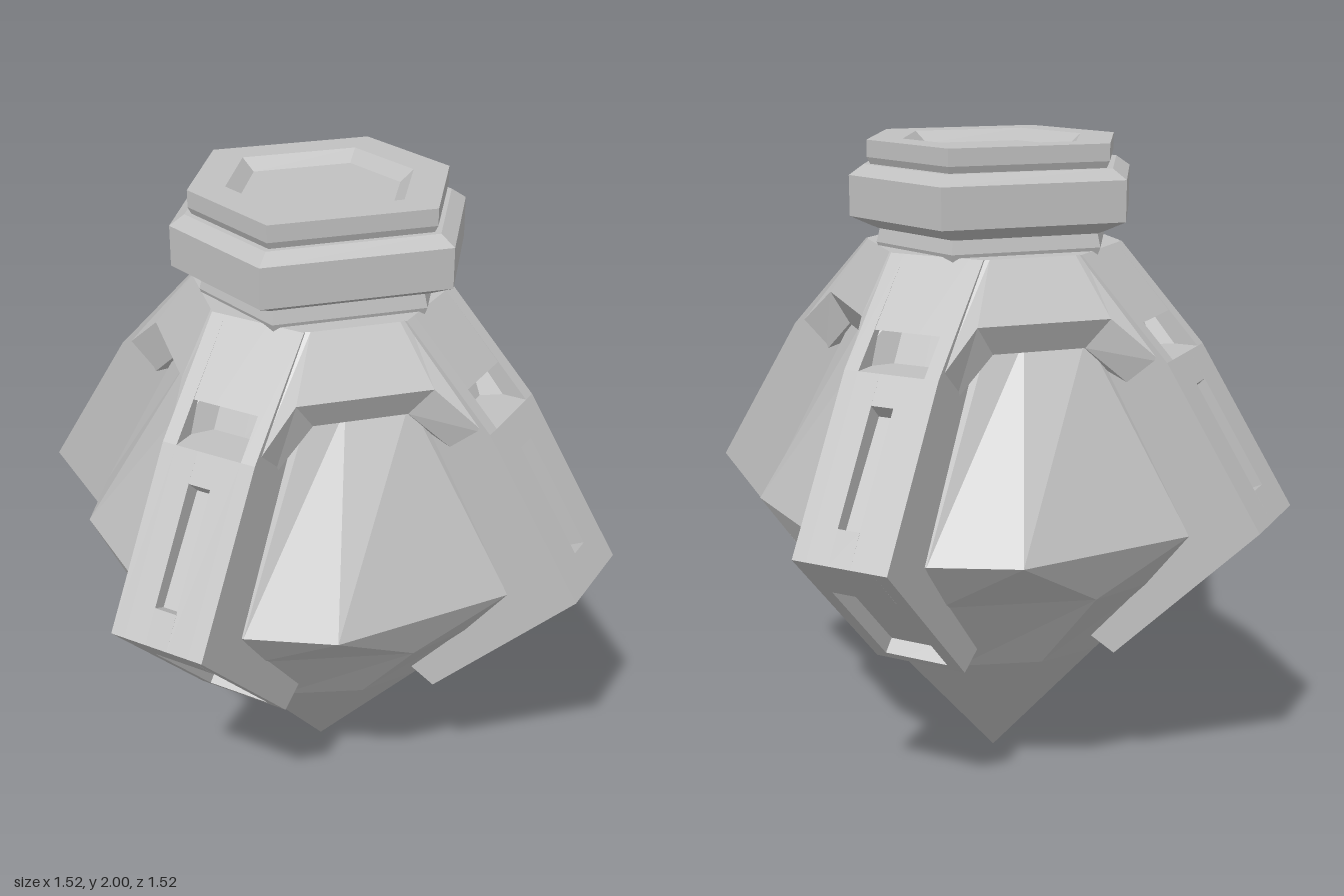
import * as THREE from 'three';

const stone = new THREE.MeshStandardMaterial({ color: 0xc0c0c0, flatShading: true });
stone.name = 'grey stone';

// Faceted solid through stacked rings: each ring is { y, pts: [[x, z, own y], ...] }, counterclockwise from above.
function loft(name, rings) {
  const v = [];
  const n = rings[0].pts.length;
  const at = (r, j) => {
    const [x, z, y = r.y] = r.pts[j % n];
    return [x, y, z];
  };
  const bottom = rings[0], top = rings[rings.length - 1];
  for (let j = 0; j < n; j++) {
    for (let i = 0; i < rings.length - 1; i++) {
      const a = at(rings[i], j), b = at(rings[i], j + 1);
      const c = at(rings[i + 1], j + 1), d = at(rings[i + 1], j);
      v.push(...a, ...b, ...c, ...a, ...c, ...d);
    }
    v.push(0, bottom.y, 0, ...at(bottom, j + 1), ...at(bottom, j));
    v.push(0, top.y, 0, ...at(top, j), ...at(top, j + 1));
  }
  const g = new THREE.BufferGeometry();
  g.setAttribute('position', new THREE.Float32BufferAttribute(v, 3));
  g.computeVertexNormals();
  const mesh = new THREE.Mesh(g, stone);
  mesh.name = name;
  return mesh;
}

// Repeats the points of the front side around all four sides.
function fourSides(y, side) {
  const pts = [];
  let s = side;
  for (let k = 0; k < 4; k++) {
    pts.push(...s);
    s = s.map(([x, z, h]) => [z, -x, h]);
  }
  return { y, pts };
}

// Collar ring: front panel edge b, outer edge a beside the brace, point c inside the brace.
const collarRing = (y, b, a, c) =>
  fourSides(y, [[-a[0], a[1], a[2]], [-b[0], b[1], b[2]], b, a, c]);

const hexagon = ([y, r]) => ({
  y,
  pts: [[-0.62, 0.85], [0.62, 0.85], [1, 0], [0.62, -0.85], [-0.62, -0.85], [-1, 0]].map(([x, z]) => [x * r, z * r]),
});

// One slab of a corner brace, with optional recesses cut in its outer profile (distance, height).
function braceSlab(from, to, wide, slot) {
  const p = [[0.2, 1.69], [0.36, 1.69]];
  if (wide) p.push([0.535, 1.5], [0.45, 1.5], [0.5, 1.4]);
  p.push([0.63, 1.4]);
  if (slot) p.push([0.68, 1.32], [0.64, 1.28], [0.83, 1.0], [0.87, 1.02]);
  p.push([0.926, 0.93]);
  if (wide) p.push([0.8, 0.8], [0.76, 0.83], [0.475, 0.54], [0.51, 0.505]);
  p.push([0.486, 0.48], [0.38, 0.54], [0.5, 0.93], [0.28, 1.4]);
  const shape = new THREE.Shape(p.map(([x, y]) => new THREE.Vector2(x, y)));
  const g = new THREE.ExtrudeGeometry(shape, { depth: to - from, bevelEnabled: false });
  g.translate(0, 0, from);
  return new THREE.Mesh(g, stone);
}

export function createModel() {
  const model = new THREE.Group();
  model.name = 'crystalFlask';

  // Pointed crystal body with an off-centre ridge on each side
  model.add(loft('crystalBody', [
    fourSides(0, [[0, 0], [0, 0], [0, 0]]),
    fourSides(0.45, [[-0.22, 0.33], [0.03, 0.38], [0.22, 0.33]]),
    fourSides(0.72, [[-0.33, 0.51], [0.12, 0.59], [0.33, 0.51]]),
    fourSides(0.89, [[-0.4, 0.62], [-0.15, 0.72], [0.4, 0.61]]),
    fourSides(1.46, [[-0.15, 0.4], [-0.04, 0.4], [0.15, 0.4]]),
  ]));

  // Shoulder collar: bevelled lower edge that drops along the sides of the braces
  model.add(loft('collar', [
    collarRing(1.4, [0.14, 0.42, 1.43], [0.265, 0.47, 1.32], [0.28, 0.28, 1.35]),
    collarRing(1.5, [0.2, 0.465, 1.52], [0.33, 0.535, 1.4], [0.29, 0.29, 1.4]),
    collarRing(1.69, [0.13, 0.36], [0.155, 0.352], [0.2, 0.2]),
  ]));

  // Hexagonal neck, rim and sunken lid
  model.add(loft('neckAndLid', [
    [1.66, 0.35], [1.7, 0.365], [1.74, 0.355], [1.75, 0.38], [1.78, 0.445], [1.9, 0.445],
    [1.93, 0.4], [1.93, 0.38], [1.95, 0.39], [2, 0.39], [2, 0.28], [1.965, 0.24],
  ].map(hexagon)));

  // Four recessed braces along the corners
  for (let k = 0; k < 4; k++) {
    const brace = new THREE.Group();
    brace.name = 'cornerBrace' + (k + 1);
    const slabs = [
      [-0.15, -0.105, false, false], [-0.105, -0.035, true, false], [-0.035, 0.035, true, true],
      [0.035, 0.105, true, false], [0.105, 0.15, false, false],
    ];
    slabs.forEach((s, i) => {
      const slab = braceSlab(...s);
      slab.name = 'braceSlab' + (i + 1);
      brace.add(slab);
    });
    brace.rotation.y = Math.PI / 4 + (k * Math.PI) / 2;
    model.add(brace);
  }
  return model;
}
